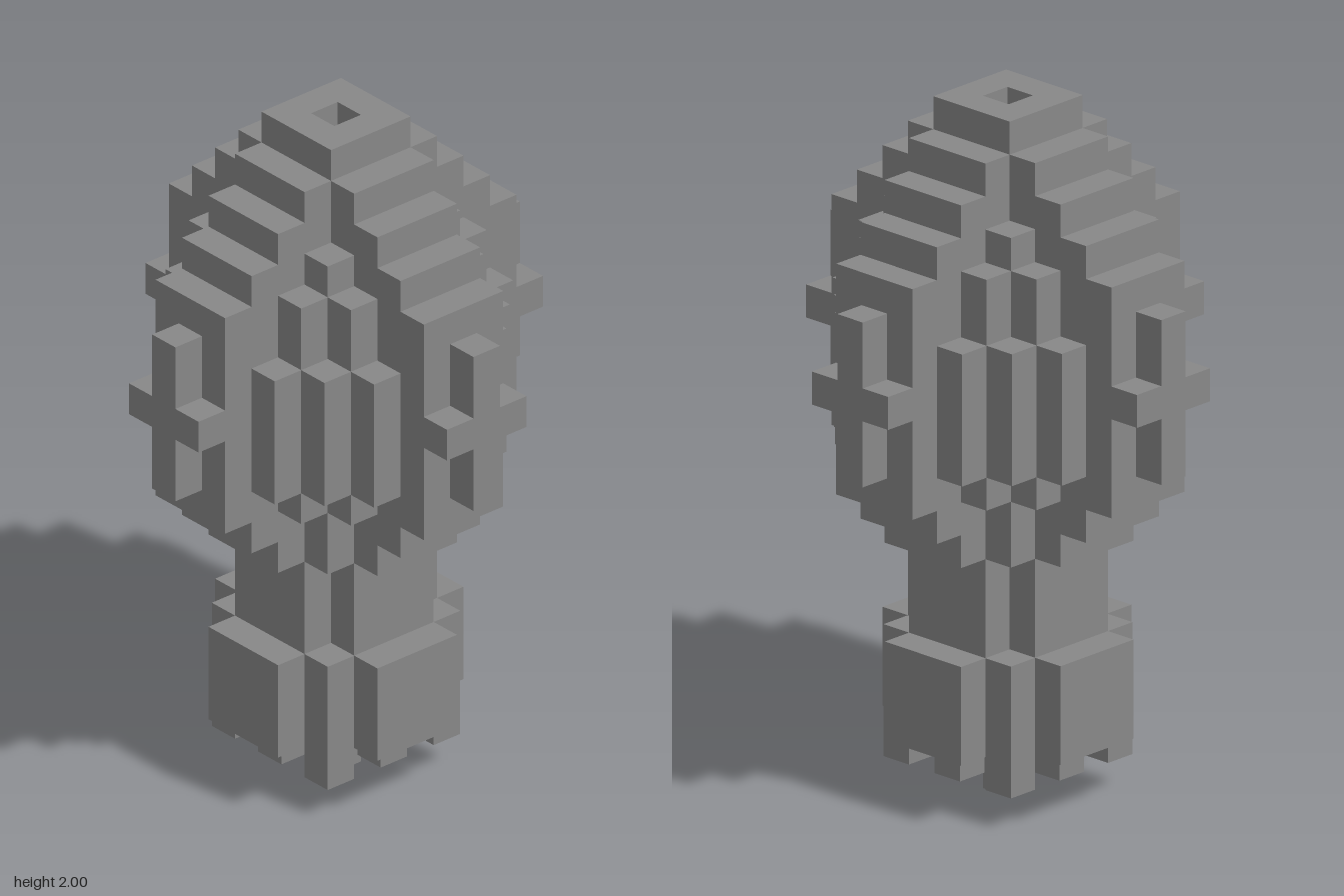
import * as THREE from 'three';

const U = 2 / 21; // one block

export function createModel() {
  const model = new THREE.Group();
  const grey = new THREE.MeshStandardMaterial({ color: 0x888888 });
  grey.name = 'stone grey';

  const add = (name, geometry, parent = model) => {
    const mesh = new THREE.Mesh(geometry, grey);
    mesh.name = name;
    parent.add(mesh);
    return mesh;
  };

  // Box given by block centre (x, z), width and depth in blocks, and bottom/top heights in blocks
  const block = (name, x, z, w, d, y0, y1, parent) => {
    const g = new THREE.BoxGeometry(w * U, (y1 - y0) * U, d * U);
    g.translate(x * U, ((y0 + y1) / 2) * U, z * U);
    return add(name, g, parent);
  };

  // Stepped outline, three blocks thick, set crosswise; steps are [halfWidth, bottom, top]
  const crossedSlabs = (name, steps) => {
    const right = steps.flatMap(([r, y0, y1]) => [[r, y0], [r, y1]]);
    const left = right.map(([x, y]) => [-x, y]).reverse();
    const outline = [...right, ...left].map(([x, y]) => new THREE.Vector2(x * U, y * U));
    for (const turn of [0, Math.PI / 2]) {
      const g = new THREE.ExtrudeGeometry(new THREE.Shape(outline), { depth: 3 * U, bevelEnabled: false });
      g.translate(0, 0, -1.5 * U);
      g.rotateY(turn);
      add(name, g);
    }
  };

  // Foot, base and neck
  block('footStub', 0, 0, 1, 1, 0, 1);
  block('foot', 0, 0, 3, 3, 1, 2);
  block('footBar', 0, 0, 5, 1, 1, 2);
  block('footBar', 0, 0, 1, 5, 1, 2);
  block('baseCore', 0, 0, 5, 5, 2, 5);
  crossedSlabs('basePlates', [[3.5, 2, 5]]);
  crossedSlabs('neck', [[2.5, 5, 8]]);

  // Stepped round head
  crossedSlabs('head', [
    [3.5, 8, 9], [4.5, 9, 10], [5.5, 10, 17], [4.5, 17, 18], [3.5, 18, 19], [2.5, 19, 20],
  ]);

  // Corner columns fill the angles between the head slabs, and legs stand below
  const columns = [
    [2, 2, 8, 18], [2, 3, 10, 17], [3, 2, 10, 17],
    [2, 4, 11, 15], [3, 3, 11, 15], [4, 2, 11, 15],
  ];
  for (const sx of [-1, 1]) {
    for (const sz of [-1, 1]) {
      block('baseLeg', sx * 2, sz * 2, 1, 1, 1, 5);
      for (const [x, z, y0, y1] of columns) block('headColumn', sx * x, sz * z, 1, 1, y0, y1);
    }
  }

  // Raised cross on each of the four sides
  for (let i = 0; i < 4; i++) {
    const cross = new THREE.Group();
    cross.name = 'raisedCross';
    block('crossUpright', 0, 6, 1, 1, 11, 16, cross);
    for (const x of [-1, 1]) block('crossArm', x, 6, 1, 1, 13, 14, cross);
    cross.rotation.y = (i * Math.PI) / 2;
    model.add(cross);
  }

  // Cap with a square hole
  for (const s of [-1, 1]) {
    block('capSide', s, 0, 1, 3, 20, 21);
    block('capEnd', 0, s, 1, 1, 20, 21);
  }

  return model;
}
